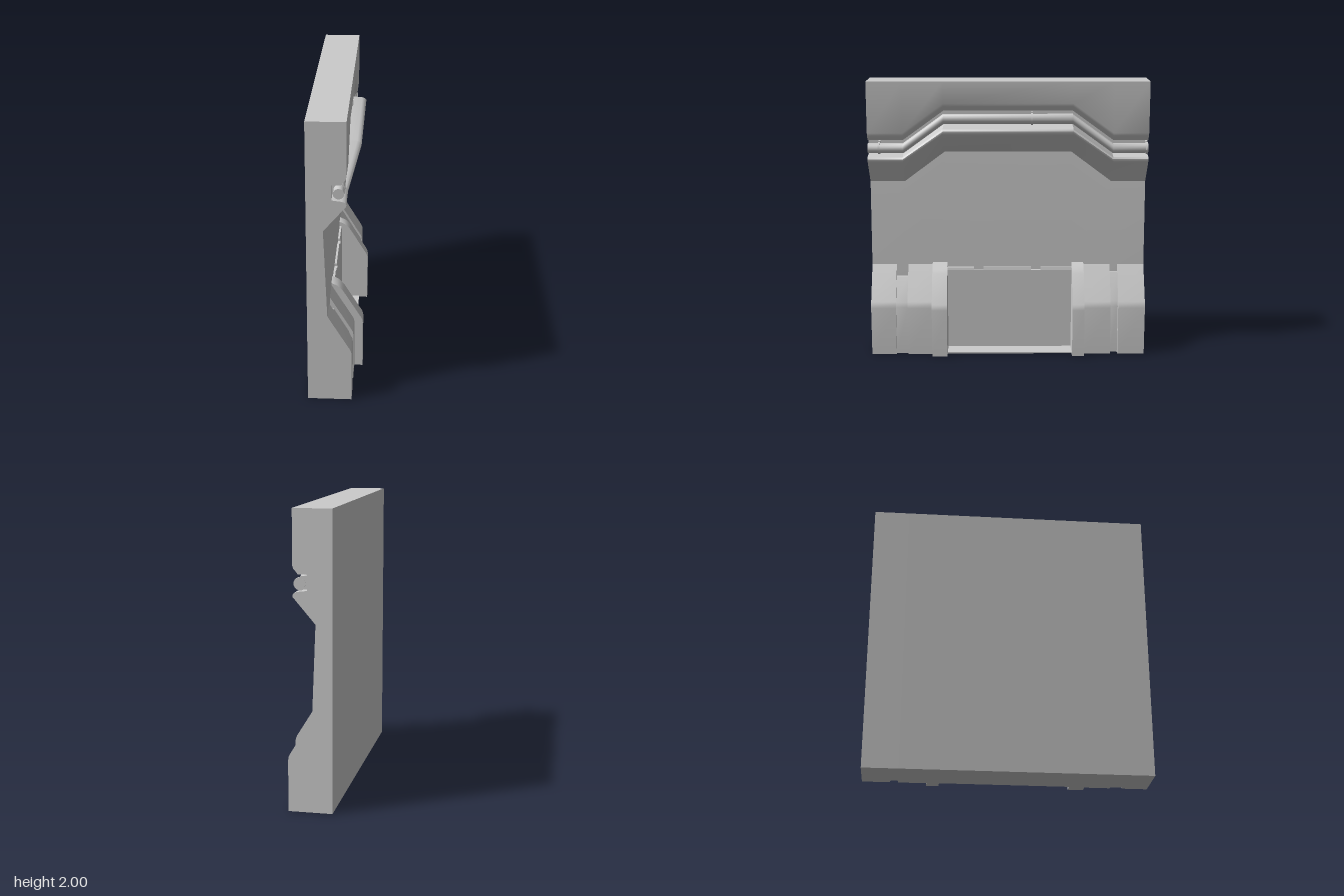
import * as THREE from 'three';
import { toCreasedNormals } from 'three/addons/utils/BufferGeometryUtils.js';

const material = new THREE.MeshStandardMaterial({ color: 0xcccccc });

// Joins equal-length counter-clockwise (x, y) outlines placed along z, and caps both ends.
function loft(stations) {
  const pos = [];
  const put = (s, j) => pos.push(s.pts[j][0], s.pts[j][1], s.z);
  const n = stations[0].pts.length;
  for (let i = 0; i < stations.length - 1; i++) {
    const p = stations[i], q = stations[i + 1];
    for (let j = 0; j < n; j++) {
      const k = (j + 1) % n;
      put(p, j); put(p, k); put(q, j);
      put(p, k); put(q, k); put(q, j);
    }
  }
  const cap = (s, flip) => {
    const contour = s.pts.map(([x, y]) => new THREE.Vector2(x, y));
    for (const [a, b, c] of THREE.ShapeUtils.triangulateShape(contour, [])) {
      put(s, a); put(s, flip ? c : b); put(s, flip ? b : c);
    }
  };
  cap(stations[0], true);
  cap(stations[stations.length - 1], false);
  const geo = new THREE.BufferGeometry();
  geo.setAttribute('position', new THREE.Float32BufferAttribute(pos, 3));
  return toCreasedNormals(geo, 0.6);
}

// Stations along the wall: u = 0 at the low ends, 1 on the raised middle.
const bends = [[-1, 0], [-0.75, 0], [-0.46, 1], [0.46, 1], [0.75, 0], [1, 0]];
const along = (profile) => loft(bends.map(([z, u]) => ({ z, pts: profile(u) })));
const block = (z0, z1, pts) => loft([{ z: z0, pts }, { z: z1, pts }]);

function wallProfile(u) {
  const d = 0.21 * u, f = 0.075 * u;
  return [
    [-0.18, 2], [-0.18, 0], [-0.045, 0], [-0.045, 0.64],
    [-0.07 - 0.009 * u, 1.26 + 0.215 * u],
    // rounded lip that flares outward in the middle
    [0.065 + f, 1.418 + d], [0.078 + f, 1.433 + d], [0.08 + f, 1.447 + d],
    [0.07 + f, 1.46 + d], [0.05 + f, 1.468 + d],
    // channel behind the pipe
    [-0.015, 1.476 + d], [-0.015, 1.58 + d], [0.045, 1.58 + d],
    [0.055, 1.595 + d], [0.073, 1.615 + d], [0.08, 1.635 + d], [0.08, 2],
  ];
}

function pipeProfile(u) {
  return Array.from({ length: 16 }, (_, i) => {
    const a = (i / 16) * Math.PI * 2;
    return [0.03 + 0.036 * Math.cos(a), 1.52 + 0.21 * u + 0.036 * Math.sin(a)];
  });
}

// Outlines of the footing, its grooves and the ribs
const footing = [[-0.1, 0], [0.117, 0], [0.117, 0.35], [0.113, 0.375], [0.103, 0.395], [-0.045, 0.64], [-0.1, 0.64]];
const wideGroove = [[-0.1, 0], [0.095, 0], [0.095, 0.35], [0.083, 0.385], [-0.018, 0.555], [-0.1, 0.555]];
const narrowGroove = [[-0.1, 0], [0.08, 0], [0.08, 0.35], [0.068, 0.39], [-0.035, 0.585], [-0.1, 0.585]];
const rib = [[-0.1, 0], [0.175, 0], [0.175, 0.35], [0.172, 0.37], [0.163, 0.39], [0.04, 0.59],
  [0.02, 0.615], [-0.005, 0.637], [-0.045, 0.655], [-0.1, 0.655]];

export function createModel() {
  const group = new THREE.Group();
  const add = (name, geo) => {
    const mesh = new THREE.Mesh(geo, material);
    mesh.name = name;
    group.add(mesh);
    return mesh;
  };

  add('wallPanel', along(wallProfile));
  add('pipe', along(pipeProfile));

  // Pipe clamps with brackets to the channel
  for (const [z, y] of [[0.92, 1.52], [-0.17, 1.73], [-0.99, 1.52]]) {
    const ring = add('pipeClamp', new THREE.CylinderGeometry(0.043, 0.043, 0.014, 20));
    ring.rotation.x = Math.PI / 2;
    ring.position.set(0.03, y, z);
    add('clampBracket', new THREE.BoxGeometry(0.05, 0.085, 0.014)).position.set(0.005, y + 0.008, z);
  }

  // Footing sections either side of each groove
  for (const [z0, z1] of [[0.82, 1], [0.55, 0.735], [-0.75, -0.55], [-1, -0.805]]) {
    add('footing', block(z0, z1, footing));
  }
  add('leftGroove', block(0.735, 0.82, wideGroove));
  add('rightGroove', block(-0.805, -0.75, narrowGroove));

  // Ribs framing the central recess
  add('leftRib', block(0.445, 0.555, rib));
  add('rightRib', block(-0.555, -0.468, rib));

  // Recessed panel, its notched top edge and the thin floor ledge
  add('recessPanel', block(-0.47, 0.45, [[-0.1, 0], [0.11, 0], [0.11, 0.01], [-0.025, 0.01], [-0.025, 0.6], [-0.1, 0.6]]));
  for (const [z0, z1] of [[-0.47, -0.24], [-0.17, 0.18], [0.25, 0.45]]) {
    add('recessTopEdge', block(z0, z1, [[-0.1, 0.6], [-0.025, 0.6], [-0.03, 0.62], [-0.1, 0.62]]));
  }
  return group;
}
